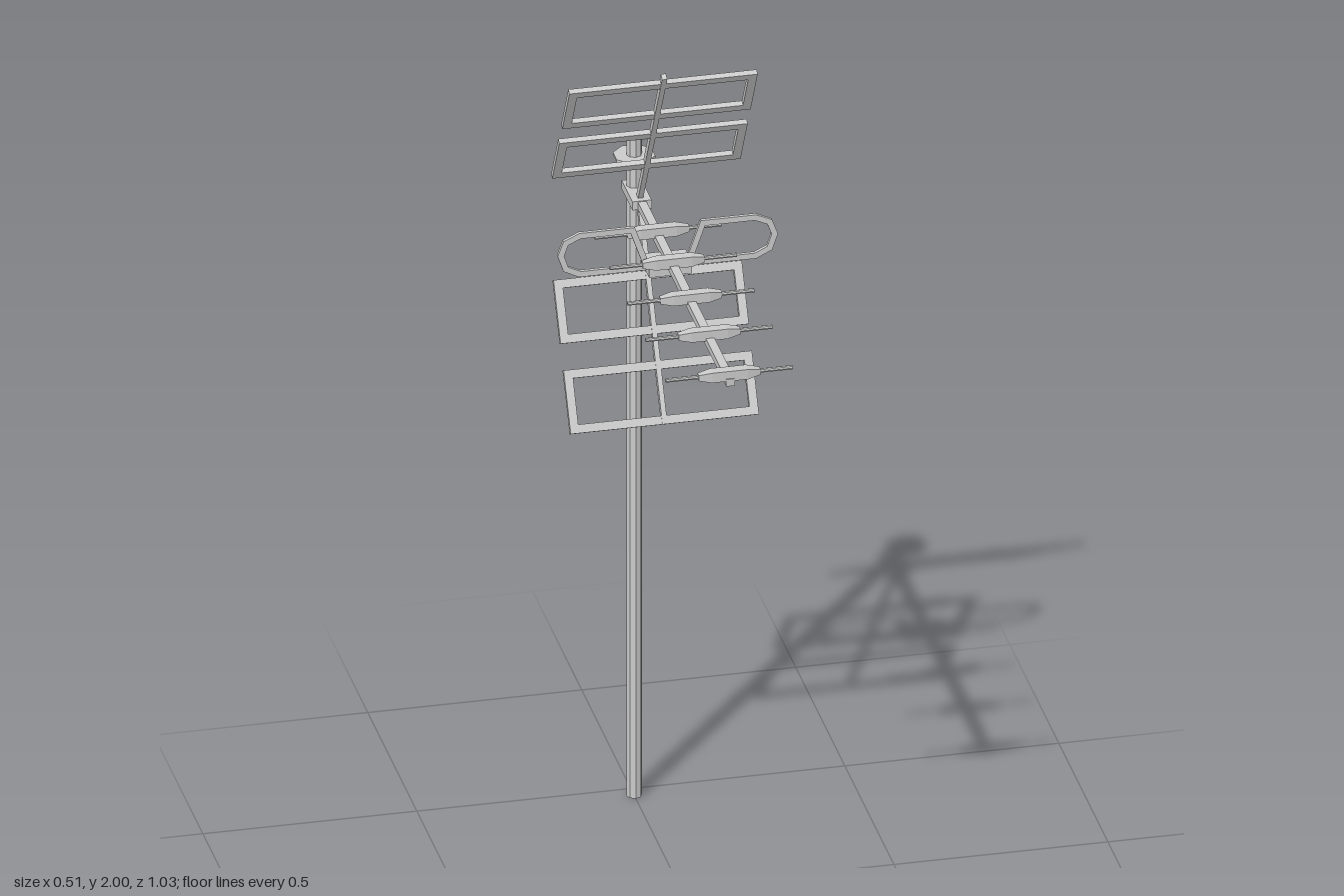
import * as THREE from 'three';

const MAT = new THREE.MeshStandardMaterial({ color: 0xcccccc, flatShading: true });
const BOOM_Y = 1.555, POLE_Z = -0.467;

function add(parent, name, geometry, x = 0, y = 0, z = 0) {
  const mesh = new THREE.Mesh(geometry, MAT);
  mesh.name = name;
  mesh.position.set(x, y, z);
  parent.add(mesh);
  return mesh;
}

function group(parent, name) {
  const g = new THREE.Group();
  g.name = name;
  parent.add(g);
  return g;
}

// Flat strip of constant width along an open polyline, with mitred corners
function strip(points, width, depth) {
  const p = points.map(([x, y]) => new THREE.Vector2(x, y));
  const left = [], right = [];
  p.forEach((c, i) => {
    const a = c.clone().sub(p[Math.max(i - 1, 0)]).normalize();
    const b = p[Math.min(i + 1, p.length - 1)].clone().sub(c).normalize();
    const t = a.clone().add(b).normalize();
    const n = new THREE.Vector2(-t.y, t.x);
    const ref = i === 0 ? b : a;
    const half = width / 2 / Math.max(0.5, t.dot(ref));
    left.push(c.clone().addScaledVector(n, half));
    right.unshift(c.clone().addScaledVector(n, -half));
  });
  const geo = new THREE.ExtrudeGeometry(new THREE.Shape([...left, ...right]), { depth, bevelEnabled: false });
  return geo.translate(0, 0, -depth / 2);
}

// Rectangular frame with an open middle
function frameGeometry(w, h, bar, depth) {
  const rect = (S, a, b) => new S([[-a, -b], [a, -b], [a, b], [-a, b]].map(([x, y]) => new THREE.Vector2(x, y)));
  const shape = rect(THREE.Shape, w / 2, h / 2);
  shape.holes.push(rect(THREE.Path, w / 2 - bar, h / 2 - bar));
  return new THREE.ExtrudeGeometry(shape, { depth, bevelEnabled: false }).translate(0, 0, -depth / 2);
}

// Director: tapered square-section holder with a thin rod through it
function addDirector(parent, z) {
  const g = group(parent, 'director');
  g.position.set(0, 1.57, z);
  const k = Math.SQRT2;
  const profile = [[0, -0.072], [0.007, -0.072], [0.0125, -0.042], [0.0125, 0.042], [0.007, 0.072], [0, 0.072]]
    .map(([r, y]) => new THREE.Vector2(r * k, y));
  const holder = new THREE.LatheGeometry(profile, 4).rotateY(Math.PI / 4).rotateZ(Math.PI / 2);
  add(g, 'directorHolder', holder);
  add(g, 'directorRod', new THREE.CylinderGeometry(0.005, 0.005, 0.296, 8).rotateZ(Math.PI / 2));
}

// Reflector wing: a spine leaning forward with two open frames
function addWing(parent, sign, length, centres) {
  const g = group(parent, sign > 0 ? 'upperReflector' : 'lowerReflector');
  g.position.set(0, BOOM_Y, -0.415);
  g.rotation.x = sign > 0 ? 0.52 : Math.PI - 0.52;
  add(g, 'reflectorSpine', new THREE.BoxGeometry(0.012, length, 0.016), 0, length / 2, 0);
  for (const s of centres) add(g, 'reflectorFrame', frameGeometry(0.44, 0.146, 0.02, 0.013), 0, s, 0);
}

export function createModel() {
  const model = new THREE.Group();
  model.name = 'antenna';

  // Mast with its collar
  add(model, 'mast', new THREE.CylinderGeometry(0.018, 0.018, 1.69, 8), 0, 0.845, POLE_Z);
  add(model, 'mastCollar', new THREE.CylinderGeometry(0.049, 0.049, 0.006, 8).rotateY(Math.PI / 8), 0, 1.642, POLE_Z);

  // Boom and the clamp that holds it to the mast
  add(model, 'boom', new THREE.BoxGeometry(0.02, 0.018, 0.975), 0, BOOM_Y, 0.0275);
  add(model, 'mastClamp', new THREE.BoxGeometry(0.045, 0.022, 0.11), 0, BOOM_Y, -0.44);

  for (const z of [0.5, 0.295, 0.11, -0.07, -0.225]) addDirector(model, z);

  // Folded dipole and its junction box
  const dipole = group(model, 'foldedDipole');
  dipole.position.z = -0.127;
  add(dipole, 'junctionBox', new THREE.BoxGeometry(0.1, 0.03, 0.064), 0, 1.536, 0);
  const half = [[0.055, 1.555], [0.082, 1.632], [0.205, 1.632], [0.238, 1.617],
    [0.25, 1.585], [0.238, 1.55], [0.205, 1.534], [0, 1.534]];
  for (const side of [1, -1]) {
    add(dipole, side > 0 ? 'leftLoop' : 'rightLoop', strip(half.map(([x, y]) => [x * side, y]), 0.014, 0.009));
  }

  // Reflector wings above and below the boom
  addWing(model, 1, 0.51, [0.21, 0.416]);
  addWing(model, -1, 0.514, [0.236, 0.443]);

  return model;
}
